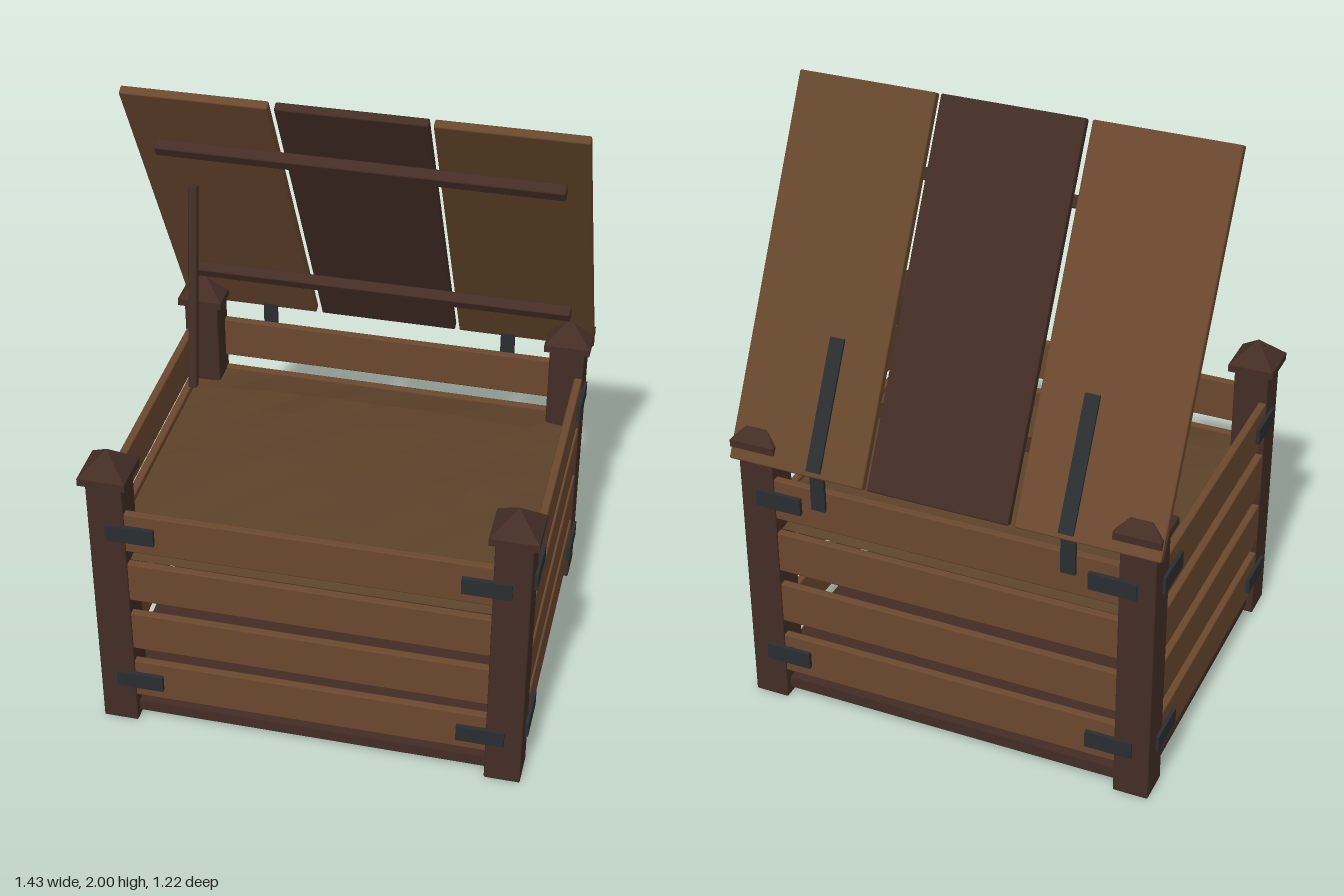
import * as THREE from 'three';
import { RoundedBoxGeometry } from 'three/addons/geometries/RoundedBoxGeometry.js';

const mat = (color, extra = {}) => new THREE.MeshStandardMaterial({ color, ...extra });
const wood = mat(0x6b482e);
const paleWood = mat(0x66472b);
const darkWood = mat(0x432d25);
const iron = mat(0x2a2e31);
const soil = mat(0x5c422a, { flatShading: true, side: THREE.DoubleSide });

function add(parent, name, geometry, material, x, y, z) {
  const mesh = new THREE.Mesh(geometry, material);
  mesh.name = name;
  mesh.position.set(x, y, z);
  parent.add(mesh);
  return mesh;
}

// Timber with slightly eased edges
const timber = (w, h, d) => new RoundedBoxGeometry(w, h, d, 1, 0.005);
const box = (w, h, d) => new THREE.BoxGeometry(w, h, d);

const POST_X = 0.636, MID_Z = 0.008, POST_Z = 0.527;

function createPost(x, z) {
  const post = new THREE.Group();
  post.name = 'cornerPost';
  add(post, 'postShaft', timber(0.117, 0.965, 0.117), darkWood, 0, 0.4825, 0);
  add(post, 'postCap', box(0.152, 0.025, 0.152), darkWood, 0, 0.973, 0);
  const point = new THREE.ConeGeometry(0.076 * Math.SQRT2, 0.073, 4).rotateY(Math.PI / 4);
  add(post, 'postCapPoint', point.toNonIndexed(), mat(0x432d25, { flatShading: true }), 0, 1.022, 0);
  post.position.set(x, 0, z);
  return post;
}

// Low uneven heap with a straight-sided outline
function createFill() {
  const geo = new THREE.PlaneGeometry(1.315, 1.095, 10, 8).rotateX(-Math.PI / 2);
  const p = geo.attributes.position;
  for (let i = 0; i < p.count; i++) {
    const u = p.getX(i) / 0.6575, v = p.getZ(i) / 0.5475;
    const dome = Math.max(0, 1 - u * u) * Math.max(0, 1 - v * v);
    const bump = Math.sin(i * 12.9898) * Math.cos(i * 4.137);
    p.setY(i, 0.652 + 0.048 * Math.sqrt(dome) + 0.008 * bump * Math.sqrt(dome));
  }
  geo.computeVertexNormals();
  return geo;
}

function createLid() {
  const lid = new THREE.Group();
  lid.name = 'lid';
  // Three planks side by side
  add(lid, 'lidPlankRight', timber(0.462, 1.22, 0.03), wood, -0.485, 0, 0);
  add(lid, 'lidPlankMiddle', timber(0.468, 1.22, 0.03), darkWood, 0, 0, 0);
  add(lid, 'lidPlankLeft', timber(0.462, 1.22, 0.03), paleWood, 0.48, 0, 0);
  // Battens on the underside
  for (const y of [-0.365, 0.367]) {
    add(lid, 'lidBatten', timber(1.28, 0.04, 0.04), darkWood, 0, y, 0.034);
  }
  // Hinge straps on the outer face
  for (const s of [-1, 1]) {
    add(lid, 'hingeStrap', box(0.048, 0.42, 0.01), iron, s * 0.418, -0.383, -0.019);
  }
  lid.position.set(0, 1.456, -0.305);
  lid.rotation.x = 0.494;
  return lid;
}

export function createModel() {
  const bin = new THREE.Group();
  bin.name = 'slattedBin';

  // Corner posts
  for (const sx of [-1, 1]) {
    for (const sz of [-1, 1]) bin.add(createPost(sx * POST_X, MID_Z + sz * POST_Z));
  }

  // Floor
  add(bin, 'floor', box(1.34, 0.04, 1.12), darkWood, 0, 0.045, MID_Z);

  // Four rows of slats on every side
  [0.182, 0.382, 0.583, 0.783].forEach((y, row) => {
    for (const s of [-1, 1]) {
      const tilt = 0.003 * Math.sin(row * 2.3 + s);
      add(bin, s > 0 ? 'frontSlat' : 'backSlat', timber(1.22, 0.147, 0.027),
        wood, 0, y, MID_Z + s * 0.566).rotation.z = tilt;
      add(bin, s > 0 ? 'leftSlat' : 'rightSlat', timber(0.027, 0.147, 1.0),
        wood, s * 0.679, y, MID_Z).rotation.x = tilt;
    }
  });

  // Iron corner brackets joining slats and posts
  for (const y of [0.18, 0.783]) {
    for (const sx of [-1, 1]) {
      for (const sz of [-1, 1]) {
        add(bin, 'endBracket', box(0.155, 0.058, 0.02), iron, sx * 0.56, y, MID_Z + sz * 0.584);
        add(bin, 'sideBracket', box(0.02, 0.058, 0.155), iron, sx * 0.695, y, MID_Z + sz * 0.45);
      }
    }
  }

  // Contents
  add(bin, 'fill', createFill(), soil, 0, 0, MID_Z);

  // Open lid, its fixed hinge leaves and the prop stick
  bin.add(createLid());
  for (const s of [-1, 1]) {
    add(bin, 'hingeLeaf', box(0.048, 0.14, 0.012), iron, s * 0.418, 0.86, -0.579);
  }
  const prop = add(bin, 'propStick', timber(0.03, 0.715, 0.025), darkWood, -0.56, 1.225, -0.157);
  prop.rotation.x = -0.147;

  return bin;
}
